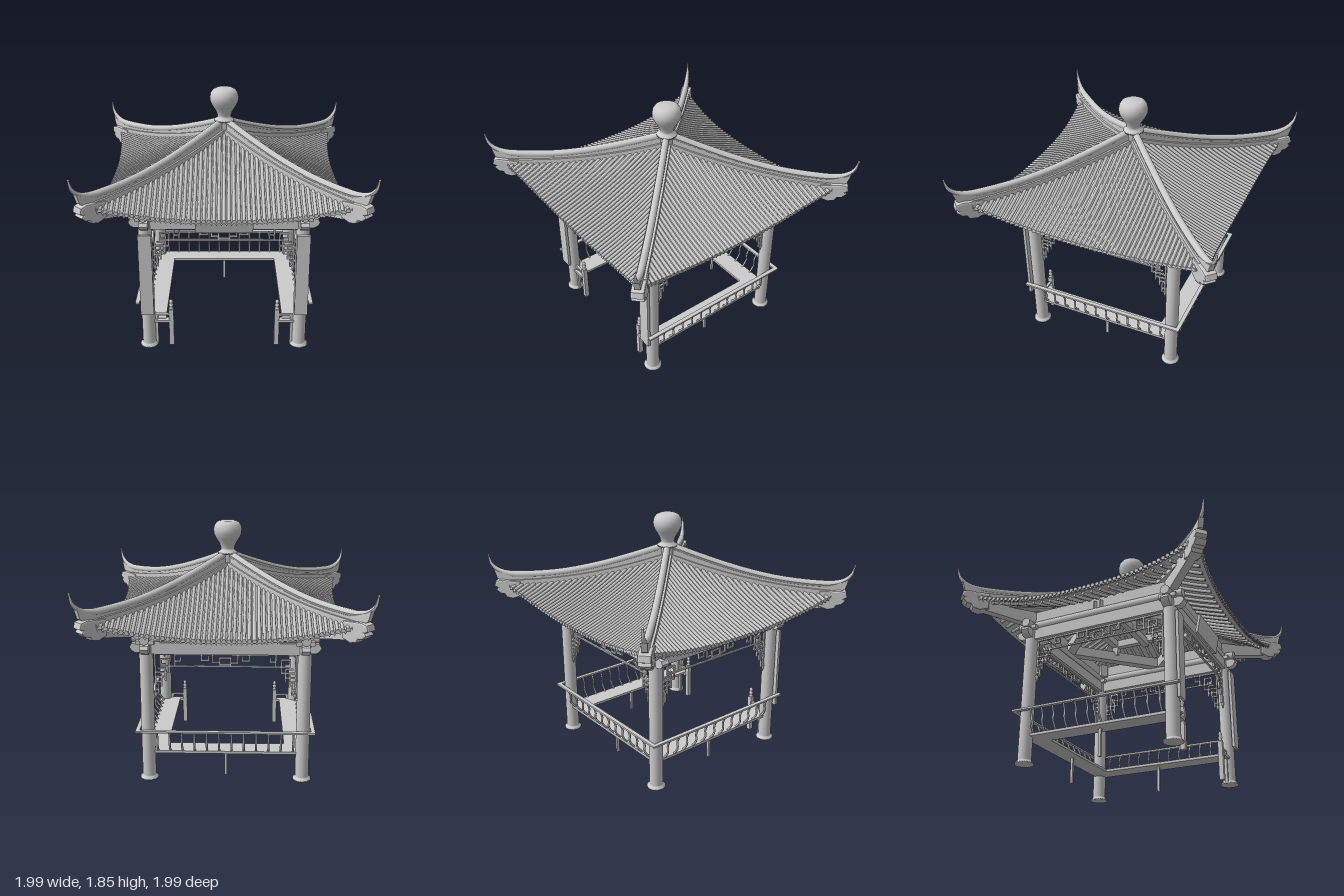
import * as THREE from 'three';
import { mergeGeometries } from 'three/addons/utils/BufferGeometryUtils.js';

const mat = new THREE.MeshStandardMaterial({ color: 0xcccccc });
const thin = new THREE.MeshStandardMaterial({ color: 0xcccccc, side: THREE.DoubleSide });
const V = (x, y, z) => new THREE.Vector3(x, y, z);
const P = 0.565; // column line

function add(parent, name, geo, x = 0, y = 0, z = 0, m = mat) {
  const mesh = new THREE.Mesh(geo, m);
  mesh.name = name;
  mesh.position.set(x, y, z);
  parent.add(mesh);
  return mesh;
}
const box = (w, h, d, x = 0, y = 0, z = 0) => new THREE.BoxGeometry(w, h, d).translate(x, y, z);
const lathe = (pts, n = 20) => new THREE.LatheGeometry(pts.map(p => new THREE.Vector2(...p)), n);
const tube = (pts, r, seg = 8, n = 6) =>
  new THREE.TubeGeometry(new THREE.CatmullRomCurve3(pts), seg, r, n);

// Tube whose radius varies along its length
function taperedTube(pts, radius, seg, n) {
  const curve = new THREE.CatmullRomCurve3(pts);
  const geo = new THREE.TubeGeometry(curve, seg, 1, n);
  const pos = geo.attributes.position, v = V(0, 0, 0);
  for (let i = 0; i < pos.count; i++) {
    const t = Math.floor(i / (n + 1)) / seg, c = curve.getPointAt(t);
    v.fromBufferAttribute(pos, i).sub(c).multiplyScalar(radius(t)).add(c);
    pos.setXYZ(i, v.x, v.y, v.z);
  }
  geo.computeVertexNormals();
  return geo;
}

// Side silhouette extruded to a thickness centred on z = 0
function slab(points, depth, bevel = 0) {
  const shape = new THREE.Shape(points.map(p => new THREE.Vector2(...p)));
  const geo = new THREE.ExtrudeGeometry(shape, {
    depth: depth - 2 * bevel, bevelEnabled: bevel > 0,
    bevelSize: bevel, bevelThickness: bevel, bevelSegments: 2,
  });
  return geo.translate(0, 0, -depth / 2 + bevel);
}

// Roof surface: sagging slope whose eave sweeps up and out at the corners
const hipY = z => 1.52 - 0.52 * z + 0.26 * z * z;
const midY = z => 1.52 - 0.62 * z + 0.19 * z * z;
const eave = u => 0.855 + 0.055 * Math.abs(u) ** 3;
function roofY(x, z) {
  const u = z > 0 ? Math.min(1, Math.abs(x) / z) : 0;
  return midY(z) + (hipY(z) - midY(z)) * u ** 2.5;
}
function roofSheet(drop, reach) {
  const geo = new THREE.PlaneGeometry(2, 1, 32, 14), pos = geo.attributes.position;
  for (let i = 0; i < pos.count; i++) {
    const u = pos.getX(i), z = (0.5 - pos.getY(i)) * eave(u) * reach;
    pos.setXYZ(i, u * z, roofY(u * z, z) - drop, z);
  }
  geo.computeVertexNormals();
  return geo;
}

function roofSide(g) {
  add(g, 'roofSheet', roofSheet(0, 1), 0, 0, 0, thin);
  add(g, 'roofUnderside', roofSheet(0.018, 0.985), 0, 0, 0, thin);
  const tiles = [], rafters = [], drips = [];
  for (let i = -25; i <= 25; i++) {
    const x = i * 0.034, z0 = Math.max(0.03, Math.abs(x)), z1 = eave(x / 0.88);
    const line = (a, b, dy) => Array.from({ length: 6 }, (_, k) => {
      const z = a + (b - a) * k / 5;
      return V(x, roofY(x, z) + dy, z);
    });
    tiles.push(tube(line(z0, z1, 0.005), 0.0125));
    tiles.push(new THREE.CircleGeometry(0.015, 10).translate(x, roofY(x, z1) + 0.003, z1 + 0.001));
    drips.push(new THREE.CircleGeometry(0.015, 3, -Math.PI / 2)
      .translate(x + 0.017, roofY(x + 0.017, z1) - 0.012, z1 - 0.004));
    if (i % 2 === 0) {
      const a = Math.max(0.3, Math.abs(x)), b = z1 - 0.045;
      if (b > a) {
        rafters.push(tube(line(a, b, -0.03), 0.012));
        rafters.push(new THREE.CircleGeometry(0.012, 6).translate(x, roofY(x, b) - 0.03, b));
      }
    }
  }
  add(g, 'roofTiles', mergeGeometries(tiles));
  add(g, 'eaveDripTiles', mergeGeometries(drips), 0, 0, 0, thin);
  add(g, 'rafters', mergeGeometries(rafters));
}

// Hanging lattice: half pattern as bar end points, mirrored in x
const bars = [
  [0, .955, .505, .955], [.503, .66, .503, .955], [0, .867, .36, .867], [.36, .867, .36, .945],
  [.36, .905, .32, .905], [.32, .905, .32, .93], [.40, .82, .40, .92], [.40, .92, .46, .92],
  [.40, .82, .50, .82], [.46, .88, .46, .92], [.43, .88, .46, .88], [.36, .867, .46, .867],
  [.43, .76, .43, .85], [.43, .85, .48, .85], [.43, .785, .50, .785], [.46, .72, .46, .80],
  [.46, .75, .50, .75], [.48, .66, .48, .73], [.48, .69, .50, .69],
  [.17, .91, .17, .955], [.12, .91, .17, .91], [.12, .91, .12, .935], [.09, .895, .09, .955],
  [.04, .895, .09, .895], [.04, .88, .04, .93], [0, .93, .04, .93], [0, .882, .04, .882],
];
function lattice(g) {
  const parts = [], w = 0.011;
  for (const s of [-1, 1]) {
    for (const [a, b, c, d] of bars)
      parts.push(box(Math.abs(c - a) + w, Math.abs(d - b) + w, 0.014, s * (a + c) / 2, (b + d) / 2, P));
    parts.push(new THREE.CylinderGeometry(0.014, 0.004, 0.05, 8).translate(s * 0.502, 0.64, P));
  }
  add(g, 'hangingLattice', mergeGeometries(parts));
}

function frameSide(g) {
  // Column with flared foot and block
  add(g, 'column', lathe([[0, 0], [.068, 0], [.068, .01], [.054, .022], [.05, .03], [.05, 1.1], [0, 1.1]], 24), P, 0, P);
  add(g, 'capitalBlock', box(0.13, 0.03, 0.13), P, 1.055, P);
  // Beams with carved ends
  add(g, 'tieBeam', box(1.14, 0.085, 0.06), 0, 1.005, P);
  for (const s of [-1, 1]) {
    const end = slab([[.56, .975], [.64, .975], [.665, .99], [.68, 1.015], [.665, 1.04], [.62, 1.05], [.56, 1.05]], 0.06);
    if (s < 0) end.rotateY(Math.PI);
    add(g, 'beamEnd', end, 0, 0, P);
  }
  add(g, 'upperBeam', box(1.1, 0.06, 0.045), 0, 1.07, P);
  add(g, 'purlin', new THREE.CylinderGeometry(0.035, 0.035, 1.33, 14).rotateZ(Math.PI / 2), 0, 1.082, P);
  add(g, 'purlinBoard', box(1.08, 0.1, 0.02), 0, 1.15, P);
  // Ceiling frame
  const brace = add(g, 'cornerBrace', box(0.8, 0.08, 0.07), P / 2, 1.13, P / 2);
  brace.rotation.y = Math.PI / 4;
  add(g, 'upperRing', box(0.58, 0.06, 0.05), 0, 1.24, 0.27);
  add(g, 'ringPost', box(0.05, 0.12, 0.05), 0.27, 1.2, 0.27);
  lattice(g);
}

function benchSide(g) {
  add(g, 'benchSeat', box(1.13, 0.02, 0.15), 0, 0.21, 0.51);
  add(g, 'benchLeg', box(0.02, 0.2, 0.02), 0, 0.1, 0.505);
  add(g, 'backRail', box(1.29, 0.014, 0.03), 0, 0.389, 0.635);
  const parts = [];
  for (let i = 0; i < 12; i++) {
    const x = (i - 5.5) * 0.09;
    parts.push(tube([V(x, .215, .572), V(x, .25, .6), V(x, .285, .618), V(x, .325, .612), V(x, .385, .635)], 0.008));
  }
  add(g, 'curvedBalusters', mergeGeometries(parts));
}

function corner(g) {
  const D = Math.SQRT2;
  // Hip ridge: body, wide footing and round crest ending in an upturned horn
  const crest = [[.03, 1.588], [.2, 1.505], [.4, 1.42], [.6, 1.36], [.8, 1.333], [.88, 1.335], [.94, 1.362], [.975, 1.41], [.988, 1.475]];
  const xs = [.02, .12, .2, .3, .4, .5, .6, .7, .8, .87];
  const band = (low, high) => [
    ...xs.map(x => [x * D, low(x)]),
    ...xs.slice().reverse().map(x => [x * D, high(x)]),
  ];
  const crestLine = new THREE.SplineCurve(crest.slice(0, 6).map(p => new THREE.Vector2(...p)));
  const crestPts = crestLine.getPoints(60);
  const crestY = x => crestPts.reduce((a, b) => Math.abs(b.x - x) < Math.abs(a.x - x) ? b : a).y;
  add(g, 'hipRidge', slab(band(x => hipY(x) - 0.02, crestY), 0.04));
  add(g, 'ridgeFooting', slab(band(x => hipY(x) - 0.02, x => hipY(x) + 0.025), 0.07));
  const radius = t => t < 0.8 ? 0.026 : 0.026 - 0.02 * ((t - 0.8) / 0.2) ** 1.3;
  add(g, 'ridgeCrest', taperedTube(crest.map(([x, y]) => V(x * D, y, 0)), radius, 48, 10));
  add(g, 'hornTip', new THREE.SphereGeometry(0.008, 8, 6), 0.988 * D, 1.477, 0);
  add(g, 'hornBase', slab([[.82, 1.26], [.91, 1.27], [.945, 1.3], [.96, 1.37], [.93, 1.35], [.88, 1.335], [.82, 1.335]]
    .map(([x, y]) => [x * D, y]), 0.04));
  // Hip beam below the roof, carved outer end
  add(g, 'hipBeam', slab(band(x => Math.min(hipY(x) - 0.07, 1.5), x => hipY(x) - 0.02), 0.06));
  add(g, 'cornerBeam', slab([[.5, 1.09], [.62, 1.1], [.74, 1.13], [.88, 1.16], [.9, 1.19], [.88, 1.22], [.5, 1.2]]
    .map(([x, y]) => [x * D, y]), 0.06));
  add(g, 'carvedEnd', slab([[.82, 1.17], [.86, 1.15], [.89, 1.16], [.9, 1.185], [.925, 1.19], [.94, 1.21], [.93, 1.23],
    [.95, 1.245], [.945, 1.27], [.92, 1.28], [.82, 1.27]].map(([x, y]) => [x * D, y]), 0.09, 0.012));
}

export function createModel() {
  const model = new THREE.Group();
  model.name = 'pavilion';
  const group = (name, angle) => {
    const g = new THREE.Group();
    g.name = name;
    g.rotation.y = angle;
    model.add(g);
    return g;
  };
  for (let k = 0; k < 4; k++) {
    const a = k * Math.PI / 2;
    roofSide(group('roofSide', a));
    frameSide(group('frameSide', a));
    corner(group('roofCorner', a + Math.PI / 4));
    if (k > 0) benchSide(group('bench', a));
  }

  // Finial, its collar and the king post
  add(model, 'finial', lathe([[0, 1.59], [.076, 1.595], [.074, 1.607], [.052, 1.62], [.05, 1.635], [.062, 1.67], [.088, 1.71],
    [.105, 1.745], [.108, 1.775], [.102, 1.805], [.085, 1.83], [.06, 1.842], [0, 1.845]], 24));
  add(model, 'finialCollar', new THREE.CylinderGeometry(0.055, 0.05, 0.1, 8), 0, 1.55, 0);
  add(model, 'kingPost', new THREE.CylinderGeometry(0.04, 0.04, 0.32, 12), 0, 1.35, 0);
  add(model, 'kingBeam', box(0.58, 0.06, 0.05), 0, 1.21, 0);

  // Front: name board, column boards, entrance posts and short rails
  add(model, 'plaque', box(0.41, 0.14, 0.02), 0, 1.02, 0.635).rotation.x = 0.2;
  for (const s of [-1, 1]) {
    add(model, 'columnBoard', box(0.097, 0.64, 0.022), s * 0.565, 0.61, 0.63);
    add(model, 'entrancePost', box(0.036, 0.3, 0.036), s * 0.395, 0.15, P);
    add(model, 'postFinial', lathe([[0, .3], [.018, .3], [.018, .308], [.01, .315], [.017, .328], [.017, .338], [.009, .345],
      [.015, .358], [.013, .37], [0, .382]], 12), s * 0.395, 0, P);
    add(model, 'shortRail', box(0.13, 0.014, 0.02), s * 0.47, 0.252, P);
    add(model, 'shortSeat', box(0.13, 0.02, 0.05), s * 0.47, 0.205, P);
    add(model, 'railPost', box(0.02, 0.25, 0.02), s * 0.505, 0.125, P);
  }
  return model;
}
